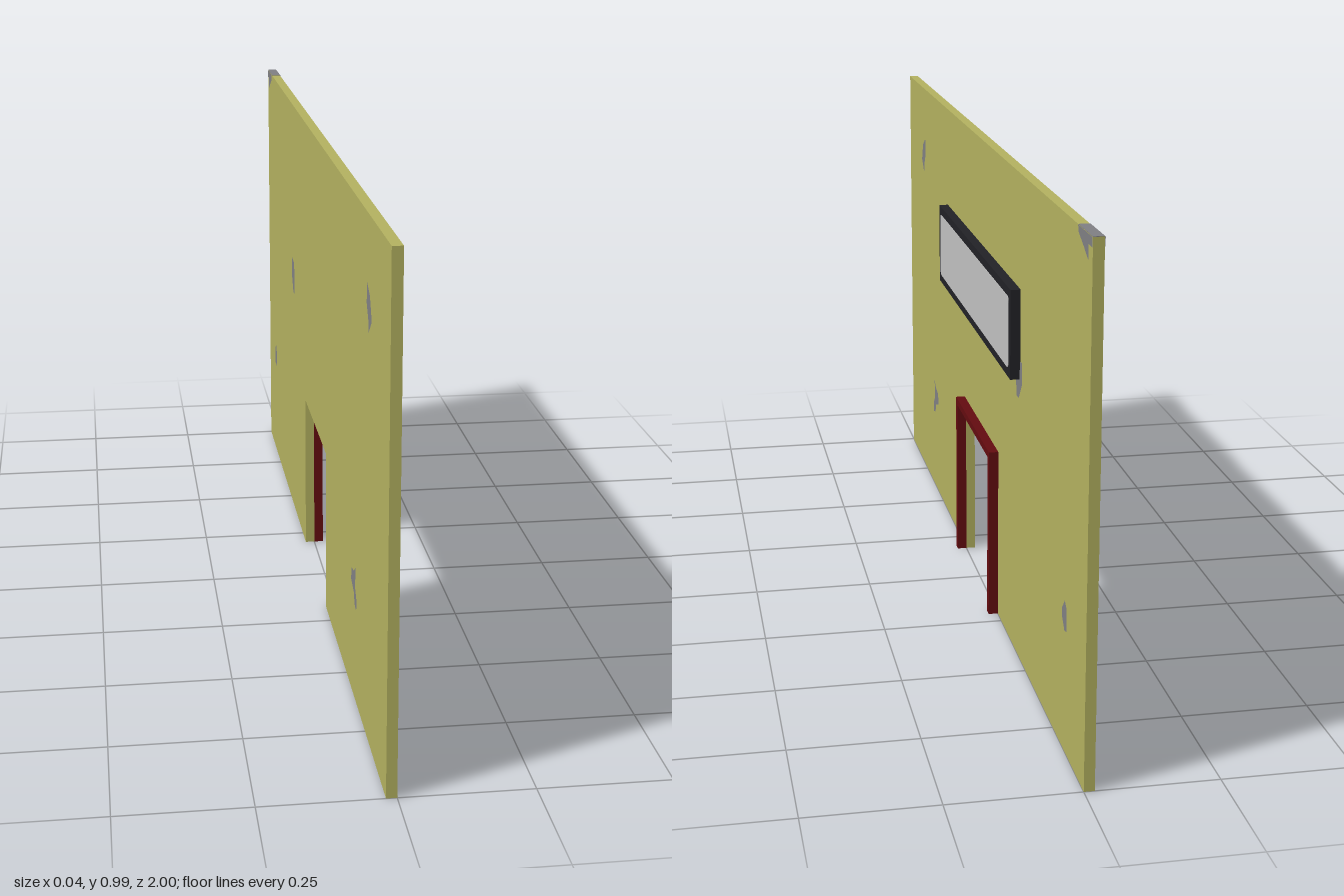
import * as THREE from 'three';

const mat = (name, color, side = THREE.FrontSide) => {
  const m = new THREE.MeshStandardMaterial({ color, side });
  m.name = name;
  return m;
};

export function createModel() {
  const group = new THREE.Group();
  group.name = 'wallWithDoorway';
  const olive = mat('olive plaster', 0xb4b260);
  const grey = mat('bare concrete', 0x808084, THREE.DoubleSide);
  const black = mat('black frame', 0x222226);
  const silver = mat('light grey panel', 0xc2c2c2);
  const red = mat('dark red trim', 0x640c10);

  const H = 0.993, T = 0.02;
  const shapeOf = pts => new THREE.Shape(pts.map(([u, y]) => new THREE.Vector2(u, y)));

  // Outlines are drawn as (u, y) with u = -z, then turned to face +x
  const add = (name, geometry, material, x) => {
    geometry.rotateY(Math.PI / 2);
    geometry.translate(x, 0, 0);
    const mesh = new THREE.Mesh(geometry, material);
    mesh.name = name;
    group.add(mesh);
  };
  const slab = (shape, depth = T) =>
    new THREE.ExtrudeGeometry(shape, { depth, bevelEnabled: false, curveSegments: 4 });

  // Wall with doorway
  const d0 = -0.175, d1 = 0.193, dTop = 0.35;
  add('wall', slab(shapeOf([
    [-1, 0], [d0, 0], [d0, dTop], [d1, dTop], [d1, 0], [1, 0], [1, H], [-1, H],
  ])), olive, -T);

  // Door trim, flush with the opening
  const w = 0.018;
  add('doorTrim', slab(shapeOf([
    [d0 - w, 0], [d0, 0], [d0, dTop], [d1, dTop], [d1, 0], [d1 + w, 0],
    [d1 + w, dTop + w - 0.003], [d0 - w, dTop + w - 0.003],
  ])), red, 0);

  // Sign box with a thin rounded panel on its face
  const s0 = -0.415, s1 = 0.431, b0 = 0.588, b1 = 0.768;
  add('signBox', slab(shapeOf([[s0, b0], [s1, b0], [s1, b1], [s0, b1]])), black, 0);
  const e = 0.018, r = 0.012;
  const l = s0 + e, q = s1 - e, b = b0 + e, t = b1 - e;
  const panel = new THREE.Shape();
  panel.moveTo(l + r, b).lineTo(q - r, b).quadraticCurveTo(q, b, q, b + r)
    .lineTo(q, t - r).quadraticCurveTo(q, t, q - r, t)
    .lineTo(l + r, t).quadraticCurveTo(l, t, l, t - r)
    .lineTo(l, b + r).quadraticCurveTo(l, b, l + r, b);
  add('signPanel', slab(panel, 0.001), silver, T);

  // Worn patches, on both faces of the wall
  const patches = {
    upperPatch: [[-0.747, 0.869], [-0.742, 0.831], [-0.763, 0.804], [-0.768, 0.783],
      [-0.8, 0.81], [-0.795, 0.826], [-0.779, 0.853]],
    lowerPatch: [[-0.624, 0.279], [-0.602, 0.263], [-0.57, 0.257], [-0.565, 0.231],
      [-0.602, 0.22], [-0.613, 0.198], [-0.634, 0.193], [-0.64, 0.214], [-0.618, 0.236]],
    signPatch: [[0.454, 0.627], [0.454, 0.584], [0.422, 0.547], [0.4, 0.547],
      [0.395, 0.595], [0.411, 0.622]],
    sidePatch: [[0.84, 0.295], [0.856, 0.284], [0.856, 0.241], [0.84, 0.236],
      [0.819, 0.257], [0.819, 0.273]],
    cornerPatch: [[0.9, H], [1, H], [1, 0.976], [0.974, 0.976], [0.974, 0.949],
      [0.942, 0.965], [0.905, 0.981]],
  };
  for (const [name, pts] of Object.entries(patches)) {
    add(name + 'Front', new THREE.ShapeGeometry(shapeOf(pts)), grey, 0.001);
    add(name + 'Back', new THREE.ShapeGeometry(shapeOf(pts)), grey, -T - 0.001);
  }

  // Worn strip along the top edge at the corner
  const strip = new THREE.Mesh(new THREE.BoxGeometry(T, 0.001, 0.1), grey);
  strip.name = 'cornerPatchTop';
  strip.position.set(-T / 2, H + 0.0005, -0.95);
  group.add(strip);

  return group;
}
